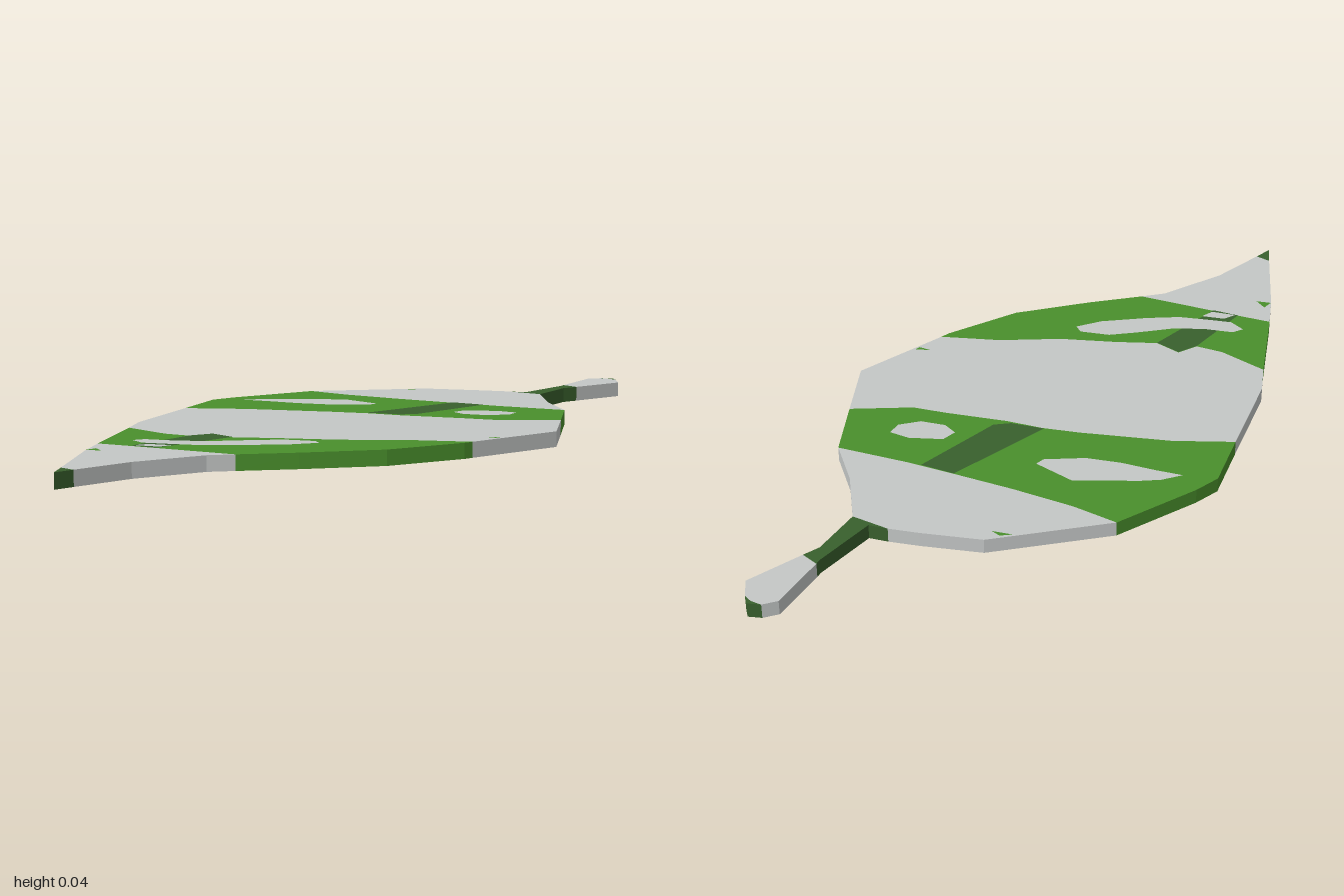
import * as THREE from 'three';
import { mergeGeometries } from 'three/addons/utils/BufferGeometryUtils.js';

const BOTTOM = 0.002, TOP = 0.04;

const mat = (name, color) => {
  const m = new THREE.MeshStandardMaterial({ color });
  m.name = name;
  return m;
};

// Flat face above and below the leaf from a loop of [x, z] points
function faces(loop, offset = 0) {
  const up = new THREE.ShapeGeometry(new THREE.Shape(loop.map(([x, z]) => new THREE.Vector2(x, -z))));
  up.rotateX(-Math.PI / 2).translate(0, TOP + offset, 0);
  const down = new THREE.ShapeGeometry(new THREE.Shape(loop.map(([x, z]) => new THREE.Vector2(x, z))));
  down.rotateX(Math.PI / 2).translate(0, BOTTOM - offset, 0);
  return [up, down].map(g => g.toNonIndexed().deleteAttribute('uv'));
}

// Upright rim along a chain of [x, z] points
function rim(chain) {
  const p = [];
  for (let i = 0; i < chain.length - 1; i++) {
    const [ax, az] = chain[i], [bx, bz] = chain[i + 1];
    p.push(bx, BOTTOM, bz, ax, BOTTOM, az, ax, TOP, az);
    p.push(bx, BOTTOM, bz, ax, TOP, az, bx, TOP, bz);
  }
  const g = new THREE.BufferGeometry();
  g.setAttribute('position', new THREE.Float32BufferAttribute(p, 3));
  g.computeVertexNormals();
  return g;
}

export function createModel() {
  const group = new THREE.Group();
  const grey = mat('pale grey', 0xc5c8c7);
  const green = mat('leaf green', 0x4a902c);
  const dark = mat('dark green', 0x39602d);
  const add = (name, parts, material) => {
    const mesh = new THREE.Mesh(mergeGeometries(parts), material);
    mesh.name = name;
    group.add(mesh);
  };

  // Lines across the leaf, back to front, where the colour changes
  const cuts = [
    [[-1, 0.115]],
    [[-0.955, 0.077], [-0.95, 0.117]],
    [[-0.71, -0.125], [-0.66, -0.01], [-0.61, 0.11], [-0.57, 0.205]],
    [[-0.52, -0.26], [-0.51, -0.13], [-0.485, -0.065], [-0.43, -0.05], [-0.425, 0.02],
      [-0.355, 0.1], [-0.265, 0.215], [-0.15, 0.325], [-0.055, 0.447]],
    [[-0.225, -0.415], [-0.12, -0.3], [0.01, -0.115], [0.06, -0.035], [0.1, 0.05],
      [0.18, 0.185], [0.22, 0.26], [0.335, 0.37]],
    [[0.215, -0.425], [0.24, -0.31], [0.29, -0.16], [0.345, -0.015], [0.39, 0.1], [0.465, 0.265]],
    [[0.6, -0.06], [0.625, 0.033]],
    [[0.8, -0.04], [0.8, 0.007]],
    [[0.98, -0.062], [0.988, -0.035], [0.985, -0.012]],
    [[1, -0.035]],
  ];

  // Bands between the lines: outline points at the back (to +x) and front (to -x)
  const bands = [
    ['leafTip', dark, [], []],
    ['tipBand', grey, [[-0.79, -0.065]], [[-0.625, 0.17], [-0.8, 0.125]]],
    ['outerGreenBand', green, [], [[-0.08, 0.445], [-0.275, 0.39], [-0.45, 0.285]]],
    ['middleBand', grey, [[-0.45, -0.313]], [[0.2, 0.478]]],
    ['innerGreenBand', green, [[-0.08, -0.482], [-0.01, -0.475]], []],
    ['baseBand', grey, [[0.475, -0.25], [0.56, -0.125]], [[0.53, 0.15]]],
    ['stem', dark, [[0.622, -0.018], [0.785, -0.035]], [[0.755, 0]]],
    ['stemKnob', grey, [[0.945, -0.08]], [[0.95, 0.028]]],
    ['stemEnd', dark, [], []],
  ];
  bands.forEach(([name, material, back, front], i) => {
    const l = cuts[i], r = cuts[i + 1];
    const loop = [l[0], ...back, ...r, ...front, ...l.slice(1).reverse()];
    add(name, [
      ...faces(loop),
      rim([l[0], ...back, r[0]]),
      rim([r.at(-1), ...front, l.at(-1)]),
    ], material);
  });

  // Painted patches: midrib shade first, pale blotches over it
  const patches = [
    ['outerMidrib', dark, 0.001, [[-0.675, -0.045], [-0.485, -0.065], [-0.43, -0.05], [-0.425, 0.02], [-0.65, 0.018]]],
    ['innerMidrib', dark, 0.001, [[0.06, -0.04], [0.345, -0.015], [0.375, 0.067], [0.135, 0.062], [0.1, 0.035]]],
    ['outerBlotch', grey, 0.002, [[-0.63, -0.1], [-0.6, -0.09], [-0.56, -0.025], [-0.505, 0.035], [-0.425, 0.09],
      [-0.365, 0.135], [-0.325, 0.2], [-0.335, 0.225], [-0.4, 0.195], [-0.495, 0.12], [-0.56, 0.06],
      [-0.6, 0], [-0.635, -0.055]]],
    ['outerSpeck', grey, 0.002, [[-0.67, -0.04], [-0.635, -0.03], [-0.605, 0.02], [-0.64, 0.015]]],
    ['innerBlotch', grey, 0.002, [[-0.03, -0.415], [0.02, -0.39], [0.06, -0.355], [0.125, -0.285], [0.17, -0.24],
      [0.18, -0.13], [0.155, -0.13], [0.08, -0.2], [0.035, -0.275], [0, -0.355]]],
    ['frontBlotch', grey, 0.002, [[0.225, 0.105], [0.265, 0.105], [0.32, 0.17], [0.335, 0.22], [0.3, 0.23],
      [0.25, 0.2], [0.22, 0.145]]],
    ['tipSpeck', green, 0.001, [[-0.785, -0.068], [-0.755, -0.07], [-0.765, -0.035]]],
    ['frontSpeck', green, 0.001, [[0.01, 0.42], [0.035, 0.45], [0.02, 0.45]]],
    ['backSpeck', green, 0.001, [[0.415, -0.285], [0.44, -0.265], [0.44, -0.24]]],
  ];
  for (const [name, material, offset, loop] of patches) add(name, faces(loop, offset), material);

  return group;
}
